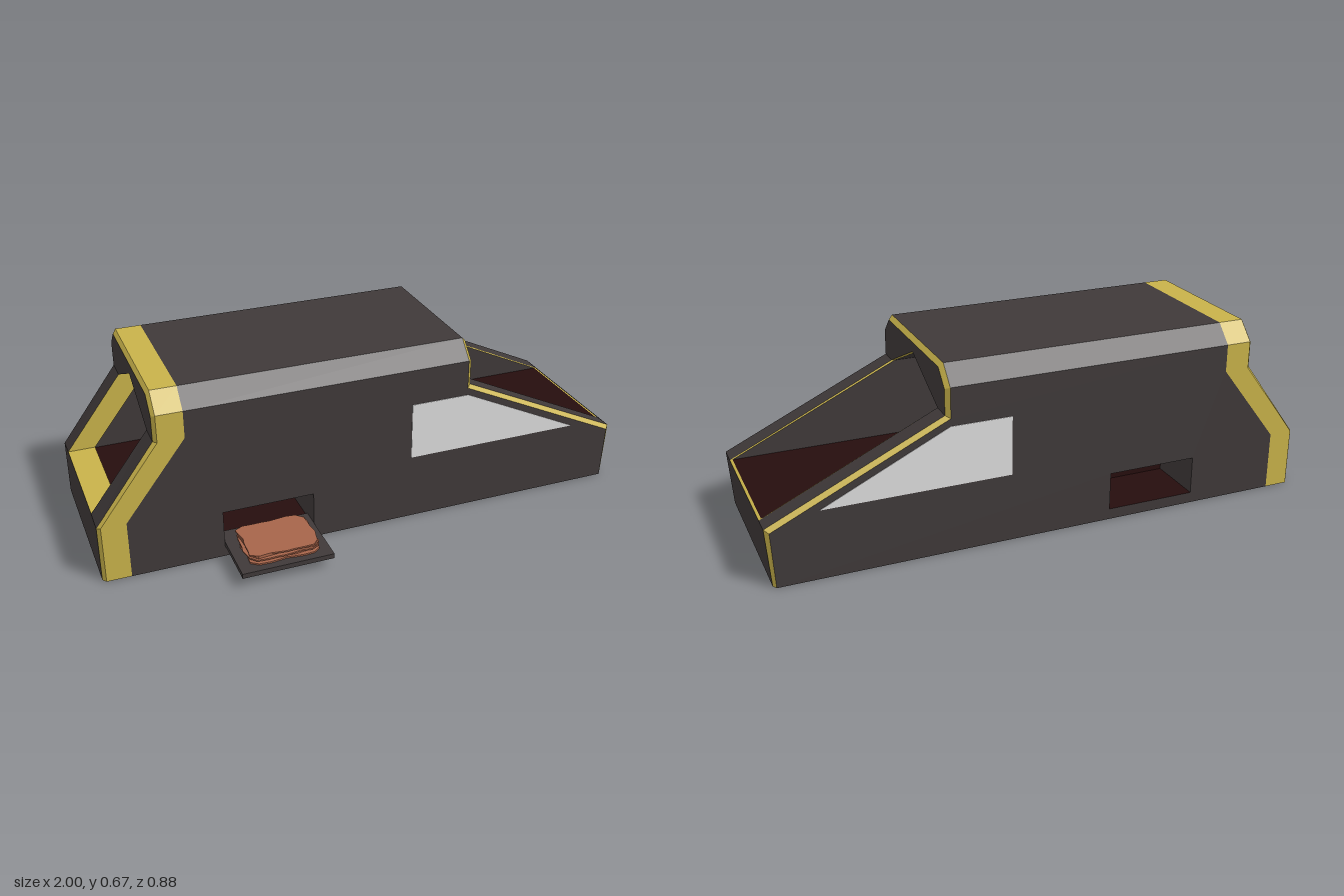
import * as THREE from 'three';

const mat = (name, color) => new THREE.MeshStandardMaterial({ name, color, side: THREE.DoubleSide, flatShading: true });

const CZ = -0.105; // centre line of the hull in z
const H = 0.3325;  // half width of the hull

export function createModel() {
  const root = new THREE.Group();
  const dark = mat('charcoal', 0x3f3939);
  const yellow = mat('yellow trim', 0xc8b24a);
  const red = mat('dark maroon', 0x260d0d);
  const pale = mat('pale glass', 0xdcdcdc);
  const copper = mat('copper', 0xa6644a);

  const add = (name, geo, m, parent = root) => {
    const mesh = new THREE.Mesh(geo, m);
    mesh.name = name;
    parent.add(mesh);
    return mesh;
  };

  // Skin between two matching rows of [x, y, z] points
  const strip = (a, b) => {
    const p = [];
    for (let i = 0; i < a.length - 1; i++) {
      p.push(...a[i], ...b[i], ...b[i + 1], ...a[i], ...b[i + 1], ...a[i + 1]);
    }
    const g = new THREE.BufferGeometry();
    g.setAttribute('position', new THREE.Float32BufferAttribute(p, 3));
    g.computeVertexNormals();
    return g;
  };

  // Half a section, given as [x, y, half width], mirrored over the centre line
  const arch = (half) => [
    ...half.map(([x, y, w]) => [x, y, CZ + w]),
    ...half.slice().reverse().map(([x, y, w]) => [x, y, CZ - w]),
  ];

  // Outer sections from the rear (-x) to the nose (+x)
  const rearFace = arch([[-1, 0, H - .015], [-1, .21, H - .015], [-.785, .5, H - .015], [-.785, .593, H - .015], [-.785, .65, .262]]);
  const rearEdge = arch([[-.988, 0, H], [-.988, .215, H], [-.773, .5, H], [-.773, .6, H], [-.773, .665, .27]]);
  const bandHalf = [[-.9, 0, H], [-.9, .215, H], [-.68, .5, H], [-.68, .6, H], [-.68, .665, .27]];
  const noseHalf = [[.975, 0, H], [.985, .2, H], [.368, .492, H], [.368, .6, H], [.368, .665, .27]];
  const band = arch(bandHalf);
  const noseEdge = arch(noseHalf);
  const noseFace = arch([[.985, 0, H - .015], [1, .21, H - .015], [.383, .5, H - .015], [.383, .593, H - .015], [.383, .65, .262]]);

  // Openings, paired point by point with the outer sections above the sill
  const opening = (xSill, xTop, w, sill, peak) =>
    arch([[xSill, sill, w], [xTop, .5, w], [xTop, .5, w], [xTop, peak, 0]]);
  const noseOuterOpening = opening(1, .383, .246, .207, .615);
  const noseOpening = opening(.99, .373, .24, .21, .61);
  const rearOpening = opening(-1, -.785, .23, .217, .607);
  const rearBandNarrow = opening(-.9, -.68, .23, .217, .607);
  const rearBandWide = opening(-.9, -.68, .24, .21, .61);
  const ends = (row) => [row[0], row[row.length - 1]];
  const closed = (row) => [...row, row[0]];

  // Hull skin
  const hull = new THREE.Group();
  hull.name = 'hull';
  root.add(hull);
  add('roof', strip(band.slice(3, 7), noseEdge.slice(3, 7)), dark, hull);
  add('underside', strip(ends(rearFace), ends(noseFace)), dark, hull);
  add('rearBand', strip(rearEdge, band), yellow, hull);
  add('rearBevel', strip(rearFace, rearEdge), yellow, hull);
  add('noseBevel', strip(noseEdge, noseFace), yellow, hull);

  // End faces around the openings
  for (const [name, face, hole] of [['rear', rearFace, rearOpening], ['nose', noseFace, noseOuterOpening]]) {
    add(name + 'Surround', strip(face.slice(1, 9), hole), dark, hull);
    add(name + 'LowerPanel', strip(ends(face), [face[1], face[8]]), dark, hull);
    add(name + 'Sill', strip([face[1], face[8]], ends(hole)), dark, hull);
  }

  // Tunnel through the hull
  add('noseOpeningTrim', strip(closed(noseOuterOpening), closed(noseOpening)), yellow, hull);
  add('rearOpeningTrim', strip(closed(rearOpening), closed(rearBandNarrow)), yellow, hull);
  add('rearTrimLip', strip(closed(rearBandNarrow), closed(rearBandWide)), yellow, hull);
  add('innerWalls', strip(rearBandWide, noseOpening), dark, hull);
  add('floor', strip(ends(rearBandWide), ends(noseOpening)), red, hull);

  // Side walls, windows and hatches, mirrored
  const [x0, x1, y0, y1] = [-.565, -.23, .04, .18];
  const wall = new THREE.Shape([...bandHalf.slice(0, 4), ...noseHalf.slice(0, 4).reverse()].map(([x, y]) => new THREE.Vector2(x, y)));
  wall.holes.push(new THREE.Path([[x0, y0], [x1, y0], [x1, y1], [x0, y1]].map(([x, y]) => new THREE.Vector2(x, y))));
  const pane = new THREE.Shape([[.15, .25], [.82, .25], [.37, .465], [.15, .465]].map(([x, y]) => new THREE.Vector2(x, y)));

  for (const s of [1, -1]) {
    const side = new THREE.Group();
    side.name = s > 0 ? 'frontSide' : 'backSide';
    root.add(side);
    const z = CZ + s * H;
    const zi = z - s * .22;
    add('sideWall', new THREE.ShapeGeometry(wall), dark, side).position.z = z;
    const glass = new THREE.ExtrudeGeometry(pane, { depth: .004, bevelEnabled: false });
    add('window', glass, pale, side).position.z = z - .002;
    // Hatch recess
    for (const x of [x0, x1]) {
      add('hatchJamb', strip([[x, y0, z], [x, y1, z]], [[x, y0, zi], [x, y1, zi]]), dark, side);
    }
    for (const y of [y0, y1]) {
      add('hatchLining', strip([[x0, y, z], [x1, y, z]], [[x0, y, zi], [x1, y, zi]]), red, side);
    }
    add('hatchBack', strip([[x0, y0, zi], [x1, y0, zi]], [[x0, y1, zi], [x1, y1, zi]]), red, side);
  }

  // Tray sliding out of the front hatch
  const tray = add('tray', new THREE.BoxGeometry(.333, .018, .28), dark);
  tray.position.set(-.3975, .0485, .297);

  // Stack of ragged sheets on the tray
  const stack = new THREE.Group();
  stack.name = 'sheetStack';
  root.add(stack);
  for (let i = 0; i < 5; i++) {
    const pts = [];
    const n = 28;
    for (let k = 0; k < n; k++) {
      const a = (k / n) * Math.PI * 2;
      const r = 1 / Math.max(Math.abs(Math.cos(a)), Math.abs(Math.sin(a)));
      const wob = .95 + .025 * Math.sin(5 * a + i * 2.1) + .02 * Math.sin(9 * a + i);
      pts.push(new THREE.Vector2(Math.cos(a) * r * .132 * wob, Math.sin(a) * r * .105 * wob));
    }
    const g = new THREE.ExtrudeGeometry(new THREE.Shape(pts), { depth: .0055, bevelEnabled: false });
    g.rotateX(-Math.PI / 2);
    const sheet = add('sheet', g, copper, stack);
    sheet.position.set(-.395 + .006 * Math.sin(i * 2.3), .059 + i * .0073, .302 + .006 * Math.cos(i * 2.9));
  }

  return root;
}
